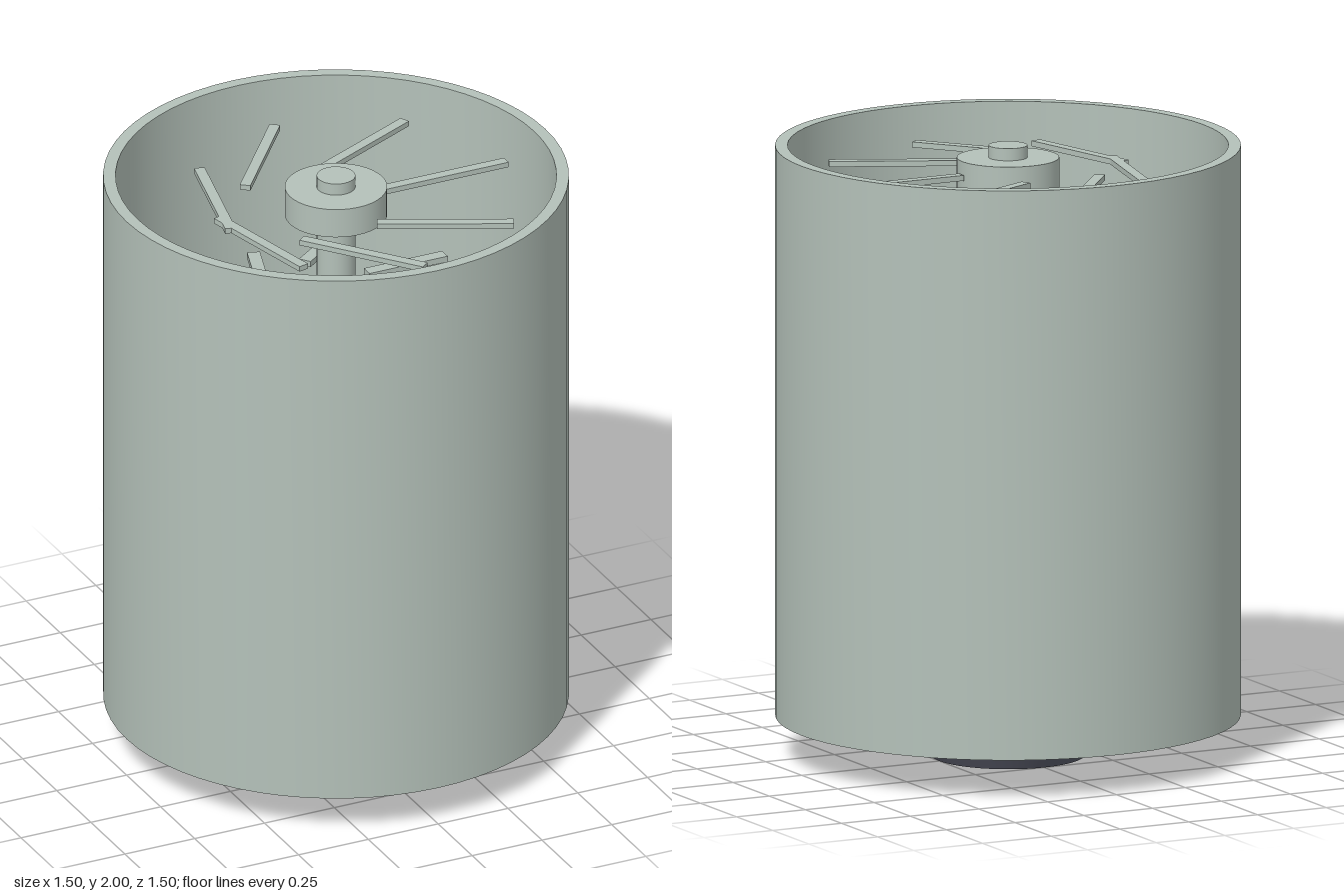
import * as THREE from 'three';
import { toCreasedNormals } from 'three/addons/utils/BufferGeometryUtils.js';

export function createModel() {
  const model = new THREE.Group();
  model.name = 'turbineEngine';
  const paleMetal = new THREE.MeshStandardMaterial({ color: 0xb4c1b9 });
  const darkMetal = new THREE.MeshStandardMaterial({ color: 0x575967 });
  const copper = new THREE.MeshStandardMaterial({ color: 0xcd9270 });
  paleMetal.name = 'paleMetal';
  darkMetal.name = 'darkMetal';
  copper.name = 'copper';

  function add(name, geometry, material, y = 0, parent = model) {
    const mesh = new THREE.Mesh(geometry, material);
    mesh.name = name;
    mesh.position.y = y;
    parent.add(mesh);
    return mesh;
  }

  // Hollow wall: closed profile going up the outside and down the inside
  function wall(name, yLow, yHigh, rLow, rHigh, thickness, material) {
    const profile = [
      [rLow, yLow], [rHigh, yHigh],
      [rHigh - thickness, yHigh], [rLow - thickness, yLow], [rLow, yLow],
    ].map(([r, y]) => new THREE.Vector2(r, y));
    add(name, toCreasedNormals(new THREE.LatheGeometry(profile, 64), 0.5), material);
  }

  // Ring of flat blades, each turned by half of its angle around the shaft
  function bladeRing(name, count, y, rInner, rOuter, width, height, material) {
    const ring = new THREE.Group();
    ring.name = name;
    ring.position.y = y;
    const geometry = new THREE.BoxGeometry(rOuter - rInner, height, width);
    const mid = (rInner + rOuter) / 2;
    for (let i = 0; i < count; i++) {
      const angle = (i / count) * Math.PI * 2;
      const blade = add('blade', geometry, material, 0, ring);
      blade.position.set(mid * Math.cos(angle), 0, -mid * Math.sin(angle));
      blade.rotation.y = angle / 2;
    }
    model.add(ring);
  }

  // Outer casing and exhaust nozzle
  wall('casing', 0.13, 2, 0.75, 0.75, 0.04, paleMetal);
  wall('nozzle', 0, 0.217, 0.25, 0.375, 0.042, darkMetal);

  // Central shaft and hubs
  add('shaft', new THREE.CylinderGeometry(0.0625, 0.0625, 1.9, 32), paleMetal, 1.05);
  add('fanHub', new THREE.CylinderGeometry(0.165, 0.165, 0.1, 40), paleMetal, 1.91);
  add('turbineHub', new THREE.CylinderGeometry(0.093, 0.093, 0.1, 32), paleMetal, 0.44);

  // Front fan and compressor stages
  bladeRing('fanBlades', 7, 1.91, 0.17, 0.61, 0.035, 0.018, paleMetal);
  for (const y of [1.62, 1.45, 1.28]) {
    bladeRing('compressorBlades', 5, y, 0.11, 0.39, 0.042, 0.02, paleMetal);
  }

  // Ring-shaped combustion chamber
  const chamber = new THREE.TorusGeometry(0.3125, 0.06, 10, 48).rotateX(Math.PI / 2);
  add('combustionChamber', toCreasedNormals(chamber, 0.4), copper, 1.0);

  // Hot and exhaust turbine stages
  bladeRing('hotTurbineBlades', 9, 0.75, 0.08, 0.3, 0.035, 0.025, copper);
  bladeRing('exhaustTurbineBlades', 11, 0.42, 0.07, 0.35, 0.03, 0.025, paleMetal);

  return model;
}
